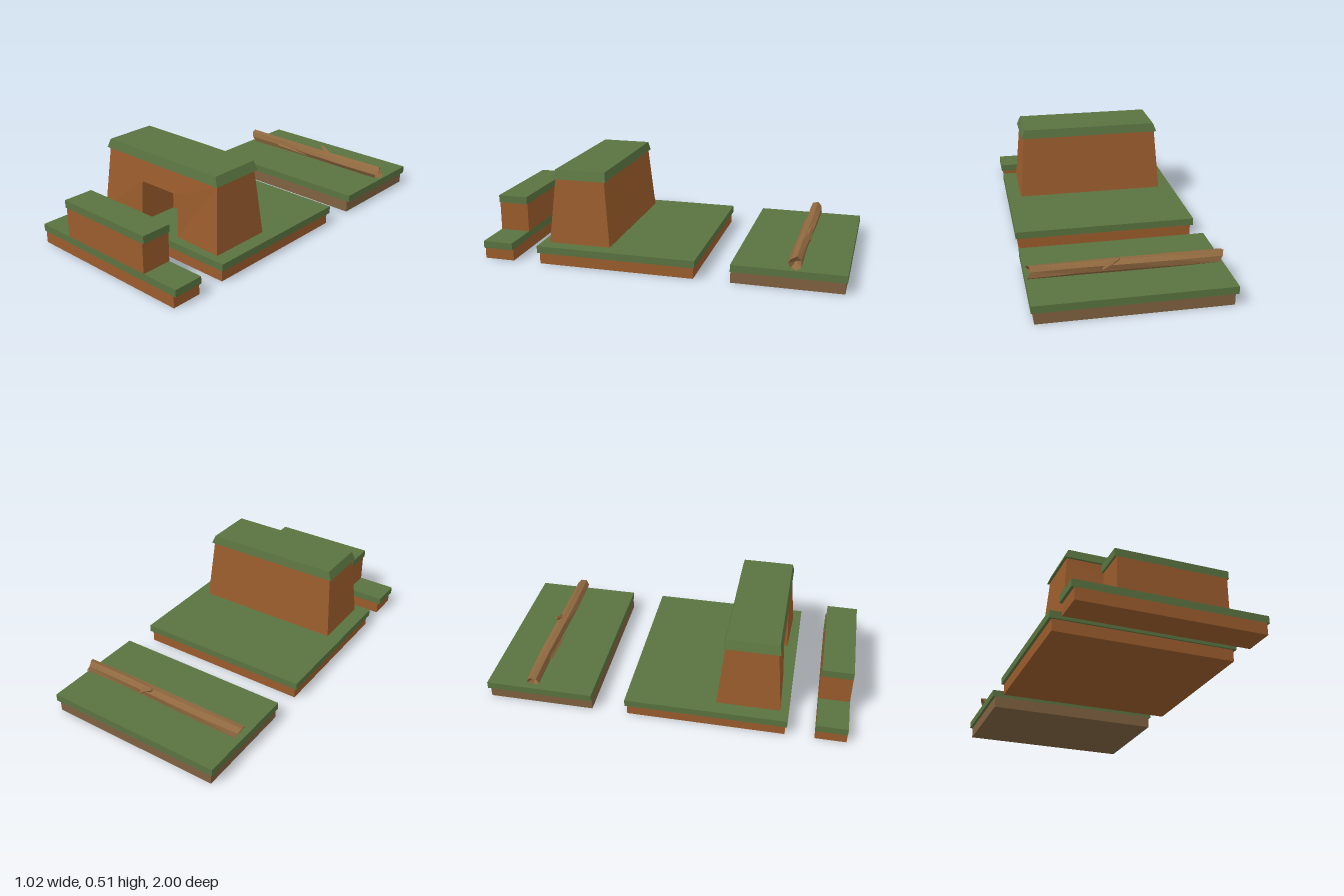
import * as THREE from 'three';

const material = (color) => new THREE.MeshStandardMaterial({ color, flatShading: true });
const GREEN = material(0x5a7340);
const CLAY = material(0x9a5c2c);
const EARTH = material(0x7f6140);
const WOOD = material(0x8f683f);
WOOD.side = THREE.DoubleSide;

function add(parent, name, geometry, mat) {
  const mesh = new THREE.Mesh(geometry, mat);
  mesh.name = name;
  parent.add(mesh);
  return mesh;
}

// Box given by its half width and its y and z ranges; the top may be narrower
function block(parent, name, mat, hx, y0, y1, z0, z1, taper = 0) {
  const g = new THREE.BoxGeometry(hx * 2, y1 - y0, z1 - z0);
  const p = g.attributes.position;
  for (let i = 0; i < p.count; i++) {
    if (p.getY(i) < 0) continue;
    p.setX(i, p.getX(i) - Math.sign(p.getX(i)) * taper);
    p.setZ(i, p.getZ(i) - Math.sign(p.getZ(i)) * taper * 0.5);
  }
  g.translate(0, (y0 + y1) / 2, (z0 + z1) / 2);
  g.computeVertexNormals();
  return add(parent, name, g, mat);
}

function quads(list) {
  const pos = [];
  for (const [a, b, c, d] of list) pos.push(...a, ...b, ...c, ...a, ...c, ...d);
  const g = new THREE.BufferGeometry();
  g.setAttribute('position', new THREE.Float32BufferAttribute(pos, 3));
  g.computeVertexNormals();
  return g;
}

// Sloping-walled building with a doorway recessed into its front
function buildingWalls() {
  const ring = (x, y, z0, z1) => [[-x, y, z1], [x, y, z1], [x, y, z0], [-x, y, z0]];
  const [A, B, E, F] = ring(0.43, 0.105, 0.285, 0.635);
  const [D, C, G, H] = ring(0.4, 0.466, 0.32, 0.6);
  const [a, b, b2, a2] = ring(0.14, 0.105, 0.39, 0.624);
  const [d, c, c2, d2] = ring(0.135, 0.34, 0.39, 0.611);
  return quads([
    [A, a, d, D], [D, d, c, C], [b, B, C, c],       // front around the doorway
    [B, E, G, C], [E, F, H, G], [F, A, D, H],       // sides and back
    [D, C, G, H],
    [a, a2, d2, d], [a2, b2, c2, d2], [b, c, c2, b2], [d, d2, c2, c], // recess
  ]);
}

// Seven-sided trunk along x with uneven girth and split, hollowed ends
function trunk() {
  const g = new THREE.CylinderGeometry(0.036, 0.036, 1, 7, 4);
  g.rotateZ(-Math.PI / 2);
  const p = g.attributes.position;
  for (let i = 0; i < p.count; i++) {
    let x = p.getX(i);
    const y = p.getY(i), z = p.getZ(i);
    const r = Math.hypot(y, z), angle = Math.atan2(y, z);
    const girth = 1 + 0.08 * Math.sin(angle * 3 + x * 5);
    if (Math.abs(x) > 0.49) {
      const side = Math.sign(x);
      if (r < 0.001) x -= side * 0.05;
      else x = side * (side < 0 ? 0.49 + 0.5 * y : 0.494 + 0.012 * Math.sin(angle * 2));
    }
    p.setXYZ(i, x, 0.139 + y * girth, -0.733 + z * girth + 0.004 * Math.sin(x * 6));
  }
  g.computeVertexNormals();
  return g;
}

// Tapered four-sided stick between two points
function stick(parent, name, from, to, r0, r1) {
  const a = new THREE.Vector3(...from), b = new THREE.Vector3(...to);
  const dir = b.clone().sub(a);
  const mesh = add(parent, name, new THREE.CylinderGeometry(r1, r0, dir.length(), 4), WOOD);
  mesh.position.copy(a).add(b).multiplyScalar(0.5);
  mesh.quaternion.setFromUnitVectors(new THREE.Vector3(0, 1, 0), dir.normalize());
}

export function createModel() {
  const model = new THREE.Group();
  model.name = 'terrainTiles';
  const tile = (name) => {
    const g = new THREE.Group();
    g.name = name;
    model.add(g);
    return g;
  };

  // Narrow front tile with a low wall
  const front = tile('frontTile');
  block(front, 'frontBase', CLAY, 0.495, 0, 0.065, 0.83, 1);
  block(front, 'frontGrass', GREEN, 0.51, 0.065, 0.105, 0.83, 1);
  block(front, 'lowWall', CLAY, 0.29, 0.105, 0.27, 0.83, 1);
  block(front, 'lowWallTop', GREEN, 0.3, 0.27, 0.312, 0.83, 1);

  // Large middle tile with the building
  const middle = tile('middleTile');
  block(middle, 'middleBase', CLAY, 0.495, 0, 0.065, -0.2, 0.67);
  block(middle, 'middleGrass', GREEN, 0.51, 0.065, 0.105, -0.21, 0.68);
  add(middle, 'buildingWalls', buildingWalls(), CLAY);
  block(middle, 'buildingRoof', GREEN, 0.413, 0.465, 0.515, 0.308, 0.612, 0.02);

  // Back tile with a fallen log
  const back = tile('backTile');
  block(back, 'backBase', EARTH, 0.495, 0, 0.065, -0.99, -0.4);
  block(back, 'backGrass', GREEN, 0.51, 0.065, 0.105, -1, -0.4);
  add(back, 'fallenLog', trunk(), WOOD);
  stick(back, 'branchStub', [0.12, 0.14, -0.748], [0.04, 0.19, -0.763], 0.024, 0.008);
  stick(back, 'splinter', [-0.27, 0.135, -0.705], [-0.03, 0.13, -0.692], 0.012, 0.003);

  return model;
}
